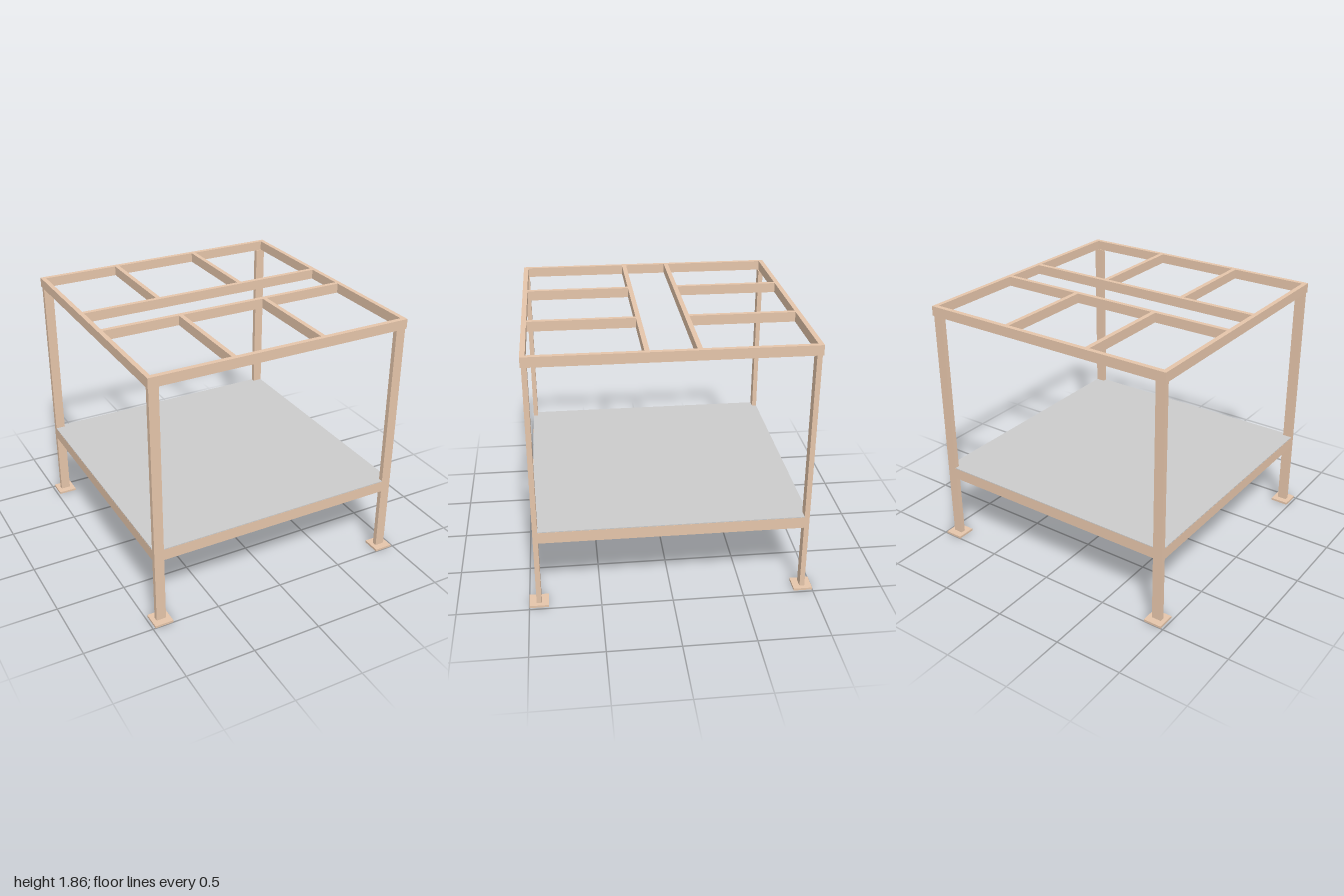
import * as THREE from 'three';

export function createModel() {
  const model = new THREE.Group();
  const wood = new THREE.MeshStandardMaterial({ color: 0xe5c5aa });
  const grey = new THREE.MeshStandardMaterial({ color: 0xcccccc });

  // Box given by its limits on each axis
  function box(name, [x0, x1], [y0, y1], [z0, z1], material = wood) {
    const mesh = new THREE.Mesh(new THREE.BoxGeometry(x1 - x0, y1 - y0, z1 - z0), material);
    mesh.position.set((x0 + x1) / 2, (y0 + y1) / 2, (z0 + z1) / 2);
    mesh.name = name;
    model.add(mesh);
  }
  // Limits of a span, mirrored when side is -1
  const span = (side, a, b) => (side > 0 ? [a, b] : [-b, -a]);

  const roofY = [1.785, 1.855];
  const railY = [0.502, 0.584];

  // Posts with square foot plates
  for (const sx of [-1, 1]) {
    for (const sz of [-1, 1]) {
      box('post', span(sx, 0.88, 0.95), [0.016, 1.785], span(sz, 0.915, 0.95));
      box('footPlate', span(sx, 0.848, 0.982), [0, 0.016], span(sz, 0.866, 1));
    }
  }

  for (const s of [-1, 1]) {
    // Lower rails, flush with the outside of the posts
    box('platformRail', [-0.88, 0.88], railY, span(s, 0.915, 0.95));
    box('platformSideRail', span(s, 0.915, 0.95), railY, [-0.915, 0.915]);

    // Roof rim
    box('roofRim', [-0.956, 0.956], roofY, span(s, 0.923, 0.957));
    box('roofSideRim', span(s, 0.923, 0.956), roofY, [-0.923, 0.923]);

    // Central roof beam and the short joists that run out to the rim
    box('roofBeam', [-0.923, 0.923], roofY, span(s, 0.151, 0.184));
    for (const x of [-0.354, 0.303]) {
      box('roofJoist', [x - 0.0165, x + 0.0165], roofY, span(s, 0.184, 0.923));
    }
  }

  // Thin sheet laid over the lower rails
  box('platformSheet', [-0.949, 0.949], [0.584, 0.59], [-0.949, 0.949], grey);

  return model;
}
